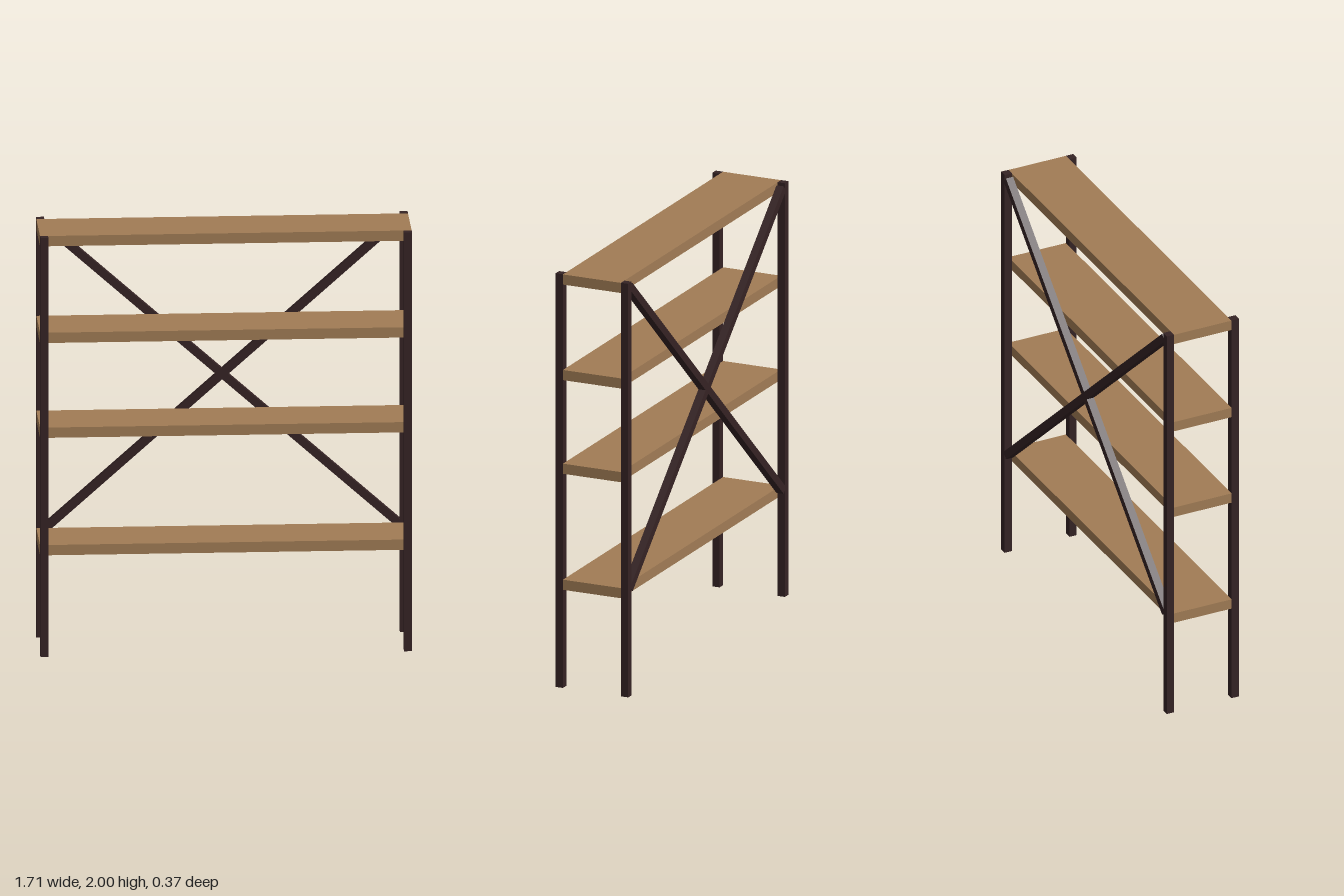
import * as THREE from 'three';

export function createModel() {
  const group = new THREE.Group();
  group.name = 'shelvingUnit';
  const wood = new THREE.MeshStandardMaterial({ color: 0xa17c55 });
  wood.name = 'wood';
  const metal = new THREE.MeshStandardMaterial({ color: 0x352324 });
  metal.name = 'darkMetal';

  const addBox = (name, material, size, position, tilt = 0) => {
    const mesh = new THREE.Mesh(new THREE.BoxGeometry(...size), material);
    mesh.name = name;
    mesh.position.set(...position);
    mesh.rotation.z = tilt;
    group.add(mesh);
  };

  const bar = 0.037;               // square section of posts and braces
  const halfWidth = 0.857;
  const postX = halfWidth - bar / 2;
  const postZ = 0.148 + bar / 2;

  // Four corner posts, outside the front and back edges of the shelves
  for (const x of [-1, 1]) {
    for (const z of [-1, 1]) {
      const name = (z > 0 ? 'front' : 'back') + (x > 0 ? 'Left' : 'Right') + 'Post';
      addBox(name, metal, [bar, 2, bar], [x * postX, 1, z * postZ]);
    }
  }

  // Four wooden boards
  [0.499, 1.06, 1.513, 1.975].forEach((y, i) => {
    addBox('shelf' + (i + 1), wood, [halfWidth * 2, 0.049, 0.296], [0, y, 0]);
  });

  // Crossed braces between the back posts
  const run = 1.64, rise = 1.46;
  for (const s of [-1, 1]) {
    addBox(s > 0 ? 'risingBrace' : 'fallingBrace', metal,
      [Math.hypot(run, rise), bar, bar], [0, 1.245, -postZ], s * Math.atan2(rise, run));
  }
  return group;
}
